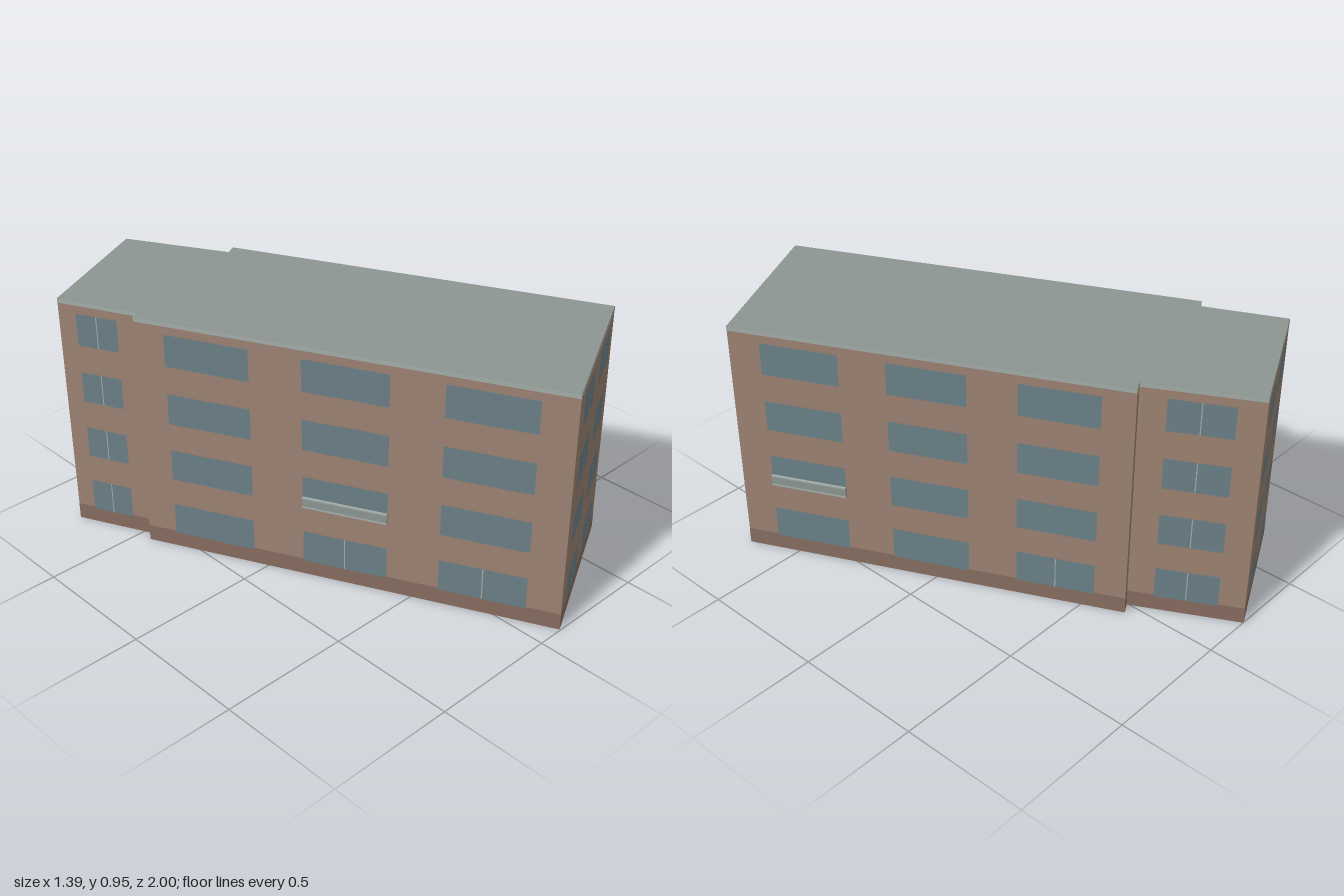
import * as THREE from 'three';

const HEIGHT = 0.955;
const mat = (color, side = THREE.FrontSide) => new THREE.MeshStandardMaterial({ color, side });
const brick = mat(0x9c8272, THREE.DoubleSide);
const stone = mat(0x876d60);
const glass = mat(0x6a8087);
const frame = mat(0xa3ada9);
const roofing = mat(0x8c9691, THREE.DoubleSide);

// Floor levels: bottom and top of each row of windows
const FLOORS = [[0.06, 0.19], [0.3, 0.427], [0.54, 0.665], [0.777, 0.905]];

// Footprint corners (x, z), running so that every wall faces outwards
const CORNERS = [
  [0.105, 0.995], [0.692, 0.685], [0.045, -0.648], [0.005, -0.625],
  [-0.2, -1], [-0.697, -0.752], [-0.56, -0.465], [-0.592, -0.443],
];

// Window spans as fractions of wall length; split lists [window, floor] with a mullion
const END = { spans: [[0.13, 0.42], [0.585, 0.875]], split: 'all' };
const WALLS = {
  0: { name: 'frontWall', ...END },
  1: { name: 'leftWall', spans: [[0.082, 0.281], [0.401, 0.6], [0.723, 0.921]], split: ['2,0'], balcony: 0 },
  2: { name: 'leftStepWall', spans: [] },
  3: { name: 'leftRearWall', spans: [[0.227, 0.773]], split: 'all' },
  4: { name: 'backWall', ...END },
  5: { name: 'rightRearWall', spans: [[0.222, 0.741]], split: 'all' },
  6: { name: 'rightStepWall', spans: [] },
  7: { name: 'rightWall', spans: [[0.072, 0.273], [0.396, 0.597], [0.719, 0.921]], split: ['1,0', '2,0'], balcony: 1 },
};

// Flat rectangle on a wall, given by its edges and its distance from the wall
function panel(parent, name, x0, x1, y0, y1, z, material) {
  const mesh = new THREE.Mesh(new THREE.PlaneGeometry(x1 - x0, y1 - y0), material);
  mesh.position.set((x0 + x1) / 2, (y0 + y1) / 2, z);
  mesh.name = name;
  parent.add(mesh);
}

// Shallow balcony with a panel between two rails
function balcony(x0, x1) {
  const group = new THREE.Group();
  group.name = 'balcony';
  const bar = (name, y0, y1, depth, material) => {
    const mesh = new THREE.Mesh(new THREE.BoxGeometry(x1 - x0, y1 - y0, depth), material);
    mesh.position.set((x0 + x1) / 2, (y0 + y1) / 2, depth / 2);
    mesh.name = name;
    group.add(mesh);
  };
  bar('balconyPanel', 0.305, 0.337, 0.009, roofing);
  bar('balconyTopRail', 0.337, 0.343, 0.011, frame);
  bar('balconyFloor', 0.299, 0.305, 0.011, frame);
  return group;
}

function buildWall(start, end, spec) {
  const dx = end[0] - start[0], dz = end[1] - start[1];
  const length = Math.hypot(dx, dz);
  const wall = new THREE.Group();
  wall.name = spec.name;
  wall.position.set(start[0], 0, start[1]);
  wall.rotation.y = Math.atan2(-dz, dx);

  panel(wall, 'brickwork', 0, length, 0, HEIGHT, 0, brick);
  panel(wall, 'plinth', 0, length, 0, 0.066, 0.001, stone);
  panel(wall, 'roofTrim', 0, length, 0.937, HEIGHT, 0.001, frame);

  spec.spans.forEach(([a, b], column) => {
    const x0 = a * length, x1 = b * length, mid = (x0 + x1) / 2;
    FLOORS.forEach(([y0, y1], floor) => {
      panel(wall, 'window', x0, x1, y0, y1, 0.002, glass);
      if (spec.split === 'all' || spec.split.includes(`${column},${floor}`))
        panel(wall, 'mullion', mid - 0.002, mid + 0.002, y0, y1, 0.003, frame);
    });
    if (spec.balcony === column) wall.add(balcony(x0, x1));
  });
  return wall;
}

export function createModel() {
  const building = new THREE.Group();
  building.name = 'apartmentBlock';

  CORNERS.forEach((corner, i) =>
    building.add(buildWall(corner, CORNERS[(i + 1) % CORNERS.length], WALLS[i])));

  // Flat roof over the footprint; the underside of the building stays open
  const outline = new THREE.Shape(CORNERS.map(([x, z]) => new THREE.Vector2(x, -z)));
  const roof = new THREE.Mesh(new THREE.ShapeGeometry(outline).rotateX(-Math.PI / 2), roofing);
  roof.position.y = HEIGHT;
  roof.name = 'roof';
  building.add(roof);

  return building;
}
